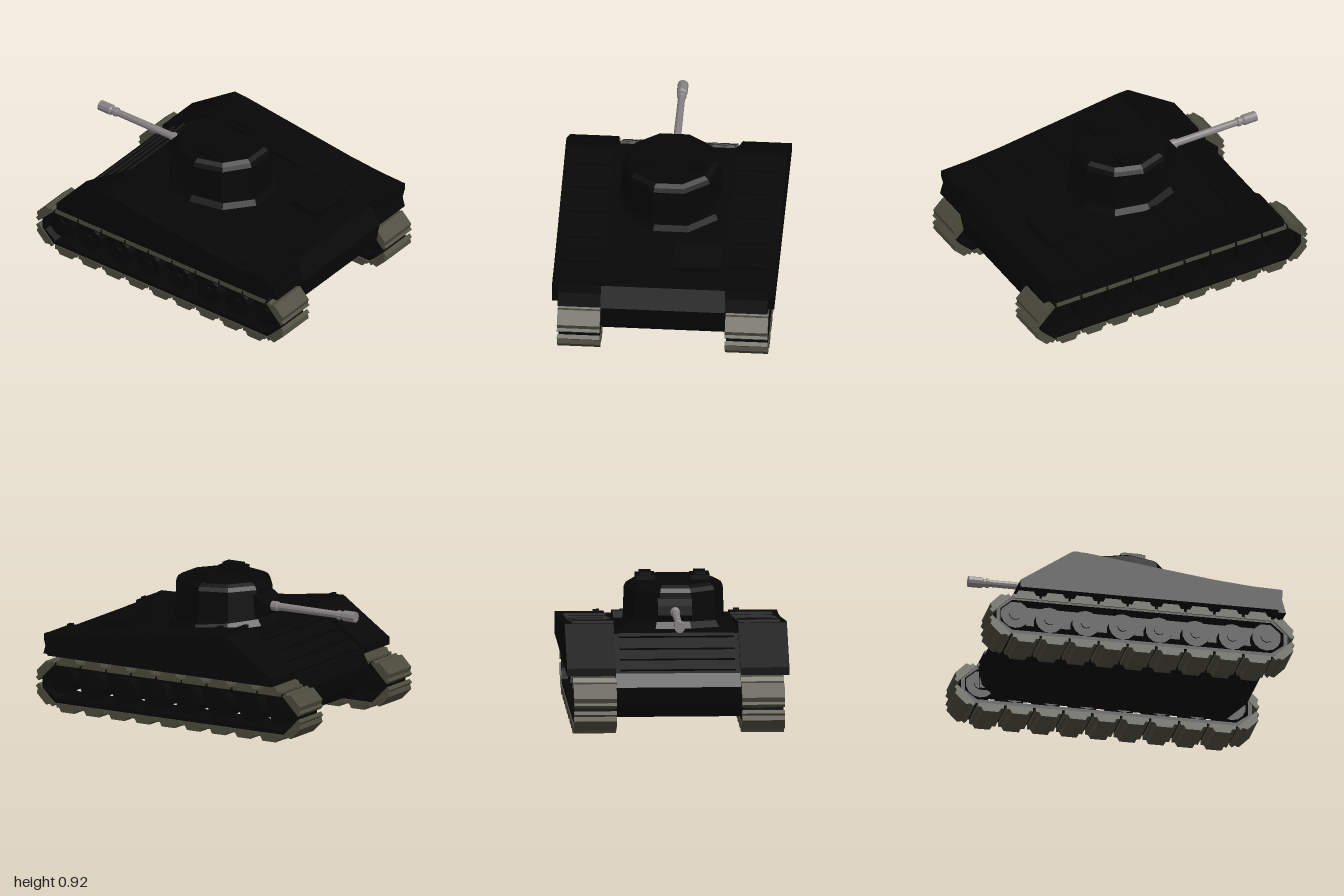
import * as THREE from 'three';

const mat = (color) => new THREE.MeshStandardMaterial({ color, flatShading: true });
const bodyMat = mat(0x060606);
const darkMat = mat(0x060606);
const trackMat = mat(0x4a4a3c);
const gunMat = mat(0x857f82);

function add(parent, name, geometry, material, x = 0, y = 0, z = 0) {
  const mesh = new THREE.Mesh(geometry, material);
  mesh.name = name;
  mesh.position.set(x, y, z);
  parent.add(mesh);
  return mesh;
}

const shapeOf = (points) => new THREE.Shape(points.map(([x, y]) => new THREE.Vector2(x, y)));

// Side profile extruded across the width, centred on z = 0
function slab(shape, width) {
  const g = new THREE.ExtrudeGeometry(shape, { depth: width, bevelEnabled: false });
  return g.translate(0, 0, -width / 2);
}

const box = (x, y, z) => new THREE.BoxGeometry(x, y, z);
const disc = (r, width, sides) => new THREE.CylinderGeometry(r, r, width, sides).rotateX(Math.PI / 2);

// Height of the sloping side deck at x
const deckY = (x) => (x < 0.48 ? 0.602 - 0.126 * x : 0.541 - 0.06 * (x - 0.48));

function createHull() {
  const hull = new THREE.Group();
  hull.name = 'hull';

  // Central tub with nose, sloped front plate and engine deck
  add(hull, 'lowerHull', slab(shapeOf([
    [-0.72, 0.09], [0.78, 0.09], [0.92, 0.22], [0.95, 0.37], [0.91, 0.46], [0.89, 0.505],
    [0.5, 0.532], [-0.4, 0.605], [-0.5, 0.595], [-0.8, 0.385], [-0.845, 0.3], [-0.82, 0.18],
  ]), 0.8), bodyMat);

  // Side boxes over the tracks, with thin outer plates cut back at the rear
  const deckLine = [[0.72, 0.52], [0.48, 0.541], [-0.37, 0.65], [-0.46, 0.654], [-0.805, 0.42]];
  const sponson = slab(shapeOf([[-0.805, 0.37], [0.945, 0.37], [0.92, 0.46], [0.91, 0.514], ...deckLine]), 0.275);
  const plate = slab(shapeOf([[-0.805, 0.37], [0.89, 0.37], [0.915, 0.47], [0.915, 0.514], ...deckLine]), 0.04);
  for (const s of [1, -1]) {
    add(hull, 'sponson', sponson, bodyMat, 0, 0, s * 0.5375);
    add(hull, 'sidePlate', plate, bodyMat, 0, 0, s * 0.694);
    // Raised straps across the side deck
    for (const x of [-0.42, -0.23, -0.02, 0.2, 0.43, 0.66]) {
      const strap = add(hull, 'deckStrap', box(0.03, 0.024, 0.27), bodyMat, x, deckY(x), s * 0.535);
      strap.rotation.z = -0.12;
    }
    // Stop at the top of the front slope
    add(hull, 'frontStop', box(0.025, 0.03, 0.27), bodyMat, -0.42, 0.66, s * 0.535);
    add(hull, 'rearPost', box(0.025, 0.03, 0.04), bodyMat, 0.88, 0.515, s * 0.45);
  }

  // Ribs across the front plate
  for (const x of [-0.77, -0.69, -0.61, -0.52]) {
    const rib = add(hull, 'frontRib', box(0.03, 0.03, 0.74), bodyMat, x, 0.385 + (x + 0.8) * 0.7, 0);
    rib.rotation.z = 0.61;
  }

  // Engine hatch with two bars, and a small rear cover
  const hatch = new THREE.Group();
  hatch.name = 'engineHatch';
  hatch.position.set(0.605, 0.545, -0.205);
  hatch.rotation.z = -0.13;
  add(hatch, 'hatchPlate', box(0.23, 0.045, 0.31), bodyMat);
  for (const z of [-0.09, 0.09]) add(hatch, 'hatchBar', box(0.19, 0.02, 0.02), bodyMat, 0, 0.02, z);
  hull.add(hatch);
  add(hull, 'rearCover', box(0.13, 0.02, 0.13), bodyMat, 0.79, 0.512, 0.265);
  return hull;
}

function createTurret() {
  const turret = new THREE.Group();
  turret.name = 'turret';
  const ring = add(turret, 'turretRing', new THREE.CylinderGeometry(0.345, 0.375, 0.05, 10), bodyMat, -0.005, 0.588, -0.01);
  ring.rotation.z = -0.09;

  const profile = [[0.335, 0.52], [0.325, 0.64], [0.318, 0.825], [0.305, 0.852], [0.275, 0.87], [0, 0.87]];
  const body = new THREE.LatheGeometry(profile.map(([r, y]) => new THREE.Vector2(r, y)), 10);
  add(turret, 'turretBody', body, bodyMat, 0, 0, 0.005);

  // Faceted gun shield
  add(turret, 'mantlet', slab(shapeOf([
    [-0.26, 0.63], [-0.26, 0.81], [-0.31, 0.79], [-0.365, 0.75], [-0.37, 0.69], [-0.335, 0.65],
  ]), 0.22), bodyMat);

  // Two roof hatches
  for (const z of [-0.175, 0.175]) {
    add(turret, 'roofHatch', box(0.16, 0.035, 0.125), bodyMat, 0.035, 0.882, z);
    add(turret, 'roofHatchLid', box(0.125, 0.03, 0.075), bodyMat, 0.035, 0.902, z);
  }

  // Barrel with collar and muzzle, turned about the gun axis
  const gun = [
    [0, 0], [0.035, 0], [0.035, 0.09], [0.025, 0.1], [0.025, 0.115], [0.031, 0.118], [0.031, 0.135],
    [0.023, 0.14], [0.025, 0.58], [0.032, 0.585], [0.032, 0.64], [0, 0.64],
  ];
  const barrel = new THREE.LatheGeometry(gun.map(([r, y]) => new THREE.Vector2(r, y)), 10);
  add(turret, 'gunBarrel', barrel.rotateZ(-Math.PI / 2), gunMat, -0.997, 0.713, 0);
  return turret;
}

// Stretched octagon used for the belt's outer and inner edge
function beltOutline(t) {
  const x = 0.955 - t, c = 0.862 - t * 0.45, top = 0.318 - t, low = 0.055 + t;
  return [[-c, low], [c, low], [x, 0.14], [x, 0.225], [c, top], [-c, top], [-x, 0.225], [-x, 0.14]];
}

function createTrack(side) {
  const track = new THREE.Group();
  track.name = side > 0 ? 'leftTrack' : 'rightTrack';
  track.position.z = side * 0.54;

  const belt = shapeOf(beltOutline(0));
  belt.holes.push(shapeOf(beltOutline(0.026)));
  add(track, 'belt', slab(belt, 0.26), darkMat);

  // Shoes with a narrower raised grip, along both runs and around the corners
  const shoe = slab(shapeOf([
    [-0.086, 0], [0.086, 0], [0.086, 0.028], [0.065, 0.028],
    [0.05, 0.055], [-0.05, 0.055], [-0.065, 0.028], [-0.086, 0.028],
  ]), 0.275);
  const place = (x, y, angle) => {
    add(track, 'trackShoe', shoe, trackMat, x, y, 0).rotation.z = angle;
  };
  for (let i = -4; i <= 4; i++) {
    place(i * 0.19, 0.305, 0);
    place(i * 0.19, 0.055, Math.PI);
  }
  for (const s of [1, -1]) {
    place(s * 0.92, 0.25, -s * Math.PI / 4);
    place(s * 0.92, 0.11, -s * Math.PI * 3 / 4);
  }

  // Running gear inside the belt
  add(track, 'suspensionBeam', box(1.66, 0.13, 0.16), darkMat, 0, 0.23, -side * 0.05);
  for (let i = 0; i < 6; i++) {
    const x = -0.6 + i * 0.24;
    add(track, 'roadWheel', disc(0.09, 0.2, 14), darkMat, x, 0.185, 0);
    add(track, 'wheelHub', disc(0.035, 0.22, 8), darkMat, x, 0.185, 0);
  }
  for (const x of [-0.825, 0.825]) {
    add(track, 'driveWheel', disc(0.095, 0.2, 14), darkMat, x, 0.205, 0);
    add(track, 'driveHub', disc(0.04, 0.22, 8), darkMat, x, 0.205, 0);
  }
  return track;
}

export function createModel() {
  const model = new THREE.Group();
  model.name = 'tank';
  model.add(createHull(), createTurret(), createTrack(1), createTrack(-1));
  return model;
}
